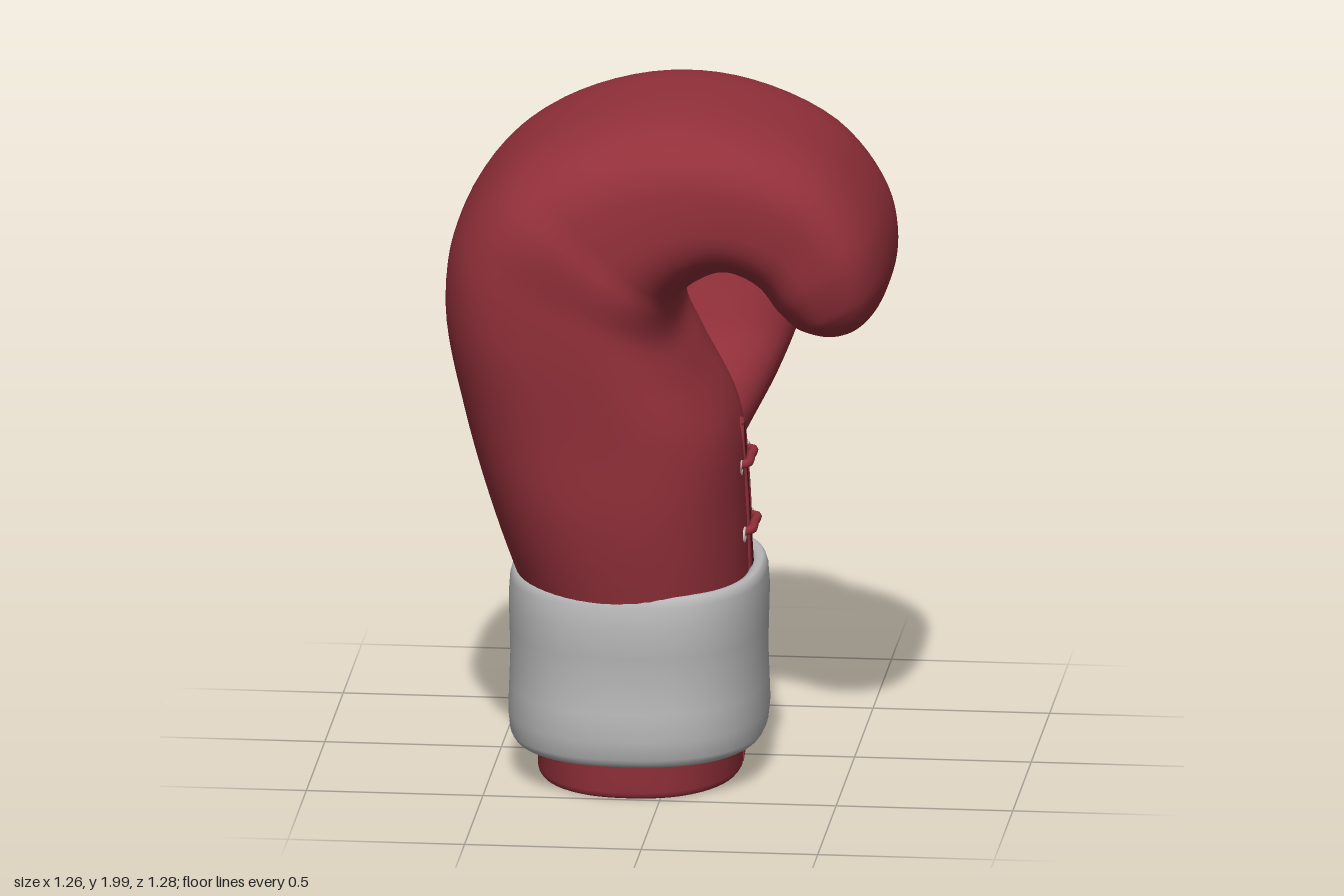
import * as THREE from 'three';
import { toCreasedNormals } from 'three/addons/utils/BufferGeometryUtils.js';

const V = (x, y, z) => new THREE.Vector3(x, y, z);

// Point on a rounded-square outline; n = 2 is an ellipse, larger is boxier
function rounded(angle, n) {
  const c = Math.cos(angle), s = Math.sin(angle);
  return [Math.sign(c) * Math.abs(c) ** (2 / n), Math.sign(s) * Math.abs(s) ** (2 / n)];
}

// Skin through stations { o, i, z0, z1, n }: o and i are the ends of the section across x/y,
// z0 and z1 its limits in depth
function loft(stations, steps, seg = 56) {
  const outer = new THREE.CatmullRomCurve3(stations.map(s => s.o));
  const inner = new THREE.CatmullRomCurve3(stations.map(s => s.i));
  const depth = new THREE.CatmullRomCurve3(stations.map(s => V(s.z0, s.z1, s.n)));
  const rows = (stations.length - 1) * steps;
  const pos = [], index = [];
  for (let r = 0; r <= rows; r++) {
    const t = r / rows, o = outer.getPoint(t), i = inner.getPoint(t), d = depth.getPoint(t);
    const mid = o.clone().add(i).multiplyScalar(0.5), half = o.clone().sub(i).multiplyScalar(0.5);
    for (let k = 0; k < seg; k++) {
      const [c, s] = rounded((k / seg) * Math.PI * 2, d.z);
      pos.push(mid.x + half.x * c, mid.y + half.y * c, (d.x + d.y) / 2 + ((d.y - d.x) / 2) * s);
      if (r < rows) {
        const a = r * seg + k, b = r * seg + (k + 1) % seg;
        index.push(a, b, a + seg, b, b + seg, a + seg);
      }
    }
  }
  const g = new THREE.BufferGeometry();
  g.setAttribute('position', new THREE.Float32BufferAttribute(pos, 3));
  g.setIndex(index);
  g.computeVertexNormals();
  return g;
}

export function createModel() {
  const model = new THREE.Group();
  const mat = (name, color, side = THREE.FrontSide) => {
    const m = new THREE.MeshStandardMaterial({ color, side });
    m.name = name;
    return m;
  };
  const red = mat('red leather', 0x93303a, THREE.DoubleSide);
  const grey = mat('cuff grey', 0xb8b8b8, THREE.DoubleSide);
  const dark = mat('dark slit', 0x5c1c22);
  const metal = mat('eyelet metal', 0xcfcfcf);
  const add = (name, geometry, material) => {
    const m = new THREE.Mesh(geometry, material);
    m.name = name;
    model.add(m);
    return m;
  };

  // Padded hand, curling over toward the palm: outer x y, inner x y, z back, z front, boxiness
  const hand = [
    [-0.40, 0.50, 0.22, 0.50, -0.25, 0.53, 2.2],
    [-0.50, 0.80, 0.21, 0.80, -0.27, 0.59, 2.4],
    [-0.58, 1.10, 0.185, 1.05, -0.29, 0.61, 2.7],
    [-0.63, 1.40, 0.08, 1.24, -0.32, 0.63, 2.9],
    [-0.595, 1.63, 0.03, 1.34, -0.33, 0.635, 3],
    [-0.43, 1.85, 0.04, 1.44, -0.33, 0.635, 3],
    [-0.15, 1.98, 0.10, 1.50, -0.31, 0.62, 3],
    [0.15, 1.99, 0.18, 1.53, -0.28, 0.60, 3],
    [0.45, 1.87, 0.26, 1.49, -0.25, 0.57, 3],
    [0.60, 1.68, 0.31, 1.42, -0.235, 0.55, 2.9],
    [0.628, 1.52, 0.36, 1.37, -0.20, 0.51, 2.8],
    [0.60, 1.42, 0.42, 1.35, -0.14, 0.45, 2.6],
    [0.56, 1.375, 0.47, 1.345, -0.05, 0.36, 2.4],
    [0.515, 1.355, 0.51, 1.352, 0.15, 0.16, 2.2],
  ].map(([ox, oy, ix, iy, z0, z1, n]) => ({ o: V(ox, oy, 0), i: V(ix, iy, 0), z0, z1, n }));
  add('paddedHand', loft(hand, 6), red);

  // Thumb: height, x limits, z limits
  const thumb = [
    [0.68, -0.20, 0.08, -0.24, 0.02],
    [0.86, -0.23, 0.15, -0.37, 0.00],
    [1.05, -0.21, 0.25, -0.53, -0.10],
    [1.20, -0.15, 0.31, -0.60, -0.20],
    [1.38, -0.09, 0.36, -0.635, -0.26],
    [1.50, -0.06, 0.35, -0.605, -0.285],
    [1.60, 0.00, 0.29, -0.54, -0.325],
    [1.64, 0.07, 0.22, -0.48, -0.375],
    [1.653, 0.14, 0.15, -0.435, -0.425],
  ].map(([y, x0, x1, z0, z1]) => ({ o: V(x0, y, 0), i: V(x1, y, 0), z0, z1, n: 2.3 }));
  add('thumb', loft(thumb, 5, 40), red);

  // Wrist cuff band, up the outside and down the inside: inset, height
  const cuff = [
    [0.05, 0.14], [0.02, 0.12], [0, 0.145], [0, 0.36], [0, 0.59],
    [0.015, 0.618], [0.045, 0.605], [0.05, 0.36], [0.05, 0.14],
  ].map(([d, y]) => ({
    o: V(-0.455 + d, y, 0), i: V(0.265 - d, y, 0), z0: -0.28 + d, z1: 0.555 - d, n: 2.4,
  }));
  add('cuff', loft(cuff, 3), grey);

  // Open wrist lining, split on the palm side
  const outline = (rx, rz, gap) => Array.from({ length: 57 }, (_, k) => {
    const [c, s] = rounded(gap + (k / 56) * (Math.PI * 2 - 2 * gap), 2.3);
    return new THREE.Vector2(-0.09 + rx * c, -0.125 + rz * s);
  });
  const ring = new THREE.Shape([
    ...outline(0.275, 0.36, 0.07), ...outline(0.24, 0.325, 0.08).reverse(),
  ]);
  const lining = new THREE.ExtrudeGeometry(ring, {
    depth: 0.5, bevelSize: 0.014, bevelThickness: 0.02, bevelSegments: 3,
  });
  lining.rotateX(-Math.PI / 2).translate(0, 0.035, 0);
  add('wristLining', toCreasedNormals(lining, 0.7), red);

  // Palm slit with its rounded edges
  const slit = add('palmSlit', new THREE.BoxGeometry(0.009, 0.42, 0.045), dark);
  slit.position.set(0.209, 0.815, 0.125);
  slit.rotation.z = 0.06;
  const edge = new THREE.CatmullRomCurve3([
    V(0.214, 0.6, 0.095), V(0.208, 0.8, 0.095), V(0.194, 1.0, 0.1), V(0.192, 1.03, 0.125),
    V(0.194, 1.0, 0.15), V(0.208, 0.8, 0.155), V(0.214, 0.6, 0.155),
  ]);
  add('slitEdge', new THREE.TubeGeometry(edge, 40, 0.01, 6), red);

  // Laces and eyelets
  for (const [y, x] of [[0.925, 0.207], [0.73, 0.217]]) {
    const path = new THREE.CatmullRomCurve3([
      V(x - 0.03, y - 0.005, 0.22), V(x + 0.01, y, 0.2), V(x + 0.012, y, 0.125),
      V(x + 0.01, y, 0.05), V(x - 0.03, y - 0.005, 0.03),
    ]);
    add('lace', new THREE.TubeGeometry(path, 20, 0.013, 8), red);
    for (const z of [0.222, 0.028]) {
      const eyelet = add('eyelet', new THREE.TorusGeometry(0.018, 0.006, 6, 16), metal);
      eyelet.position.set(x - 0.007, y - 0.008, z);
      eyelet.rotation.y = Math.PI / 2;
    }
  }
  return model;
}
